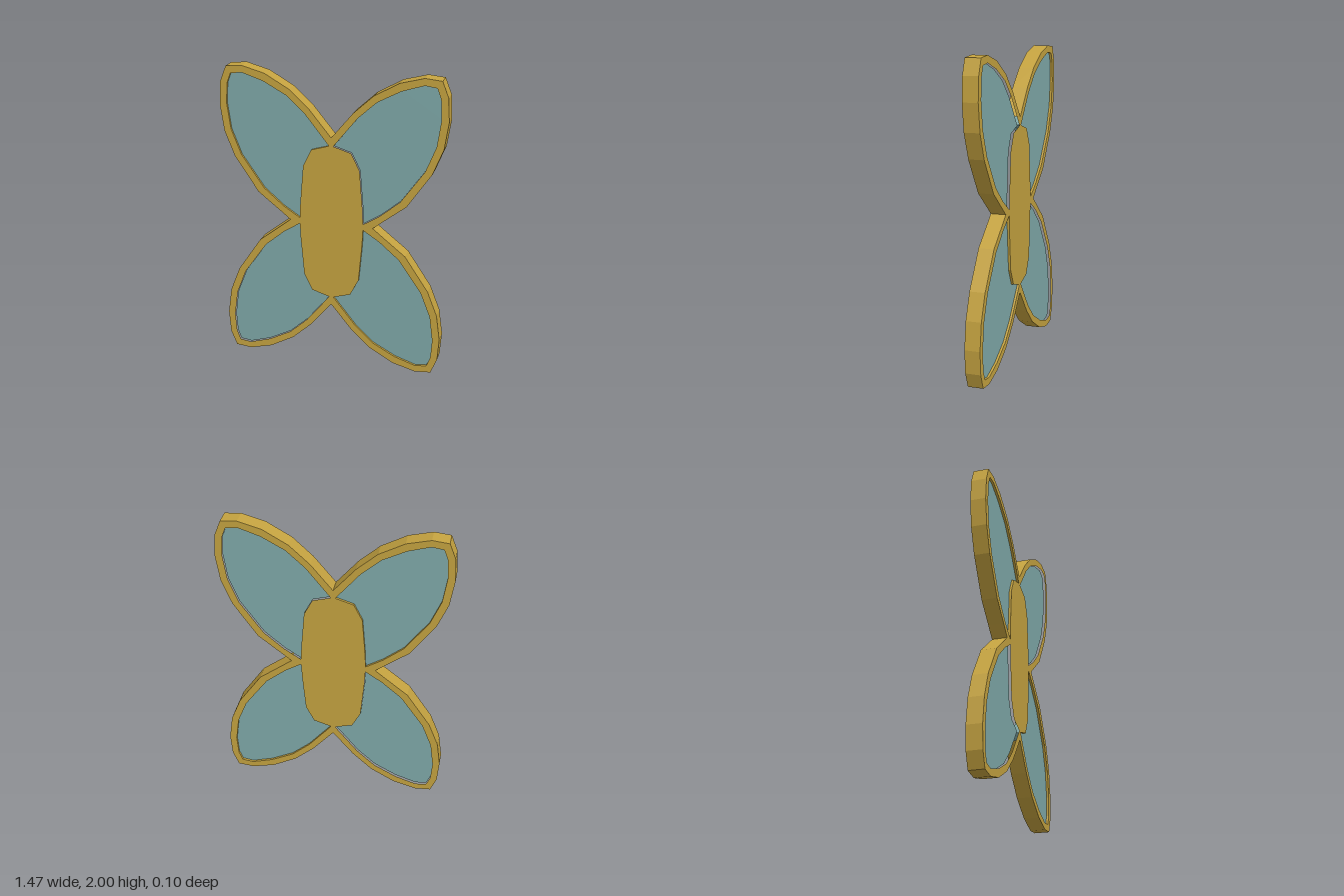
import * as THREE from 'three';

// Upper-left wing outline, as [x, height above the waist]
const OUTER = [[0, 0.58], [0.14, 0.75], [0.27, 0.87], [0.43, 0.96], [0.58, 1], [0.685, 0.99], [0.725, 0.89],
  [0.735, 0.74], [0.71, 0.565], [0.645, 0.4], [0.49, 0.17], [0.35, 0.06], [0.275, 0]];
// Window in that wing; its last points follow the body
const WINDOW = [[0.014, 0.525], [0.17, 0.72], [0.29, 0.83], [0.44, 0.91], [0.58, 0.955], [0.655, 0.945],
  [0.68, 0.88], [0.688, 0.75], [0.665, 0.58], [0.6, 0.415], [0.45, 0.2], [0.32, 0.09], [0.211, 0.02],
  [0.207, 0.12], [0.185, 0.38], [0.13, 0.49]];
const WAIST = 1, FRAME_DEPTH = 0.1, PANE_DEPTH = 0.07;

const place = (points, sx, sy) => points.map(([x, y]) => new THREE.Vector2(sx * x, WAIST + sy * y));

function slab(name, shape, depth, color) {
  const geometry = new THREE.ExtrudeGeometry(shape, { depth, bevelEnabled: false });
  geometry.translate(0, 0, -depth / 2);
  const mesh = new THREE.Mesh(geometry, new THREE.MeshStandardMaterial({ color, flatShading: true }));
  mesh.name = name;
  return mesh;
}

export function createModel() {
  const group = new THREE.Group();
  group.name = 'butterfly';

  // Frame and body in one plate: four mirrored quarter outlines joined clockwise
  const outline = [
    ...place(OUTER, 1, 1),
    ...place(OUTER, 1, -1).reverse().slice(1),
    ...place(OUTER, -1, -1).slice(1),
    ...place(OUTER, -1, 1).reverse().slice(1, -1),
  ];
  const frame = new THREE.Shape(outline);

  // Four windows, each with a recessed pane
  for (const [side, sx] of [['left', 1], ['right', -1]]) {
    for (const [level, sy] of [['Upper', 1], ['Lower', -1]]) {
      const points = place(WINDOW, sx, sy);
      frame.holes.push(new THREE.Path(points));
      group.add(slab(`${side}${level}Pane`, new THREE.Shape(points), PANE_DEPTH, 0x7fa9a9));
    }
  }
  group.add(slab('bodyAndWingFrame', frame, FRAME_DEPTH, 0xc5a340));
  return group;
}
